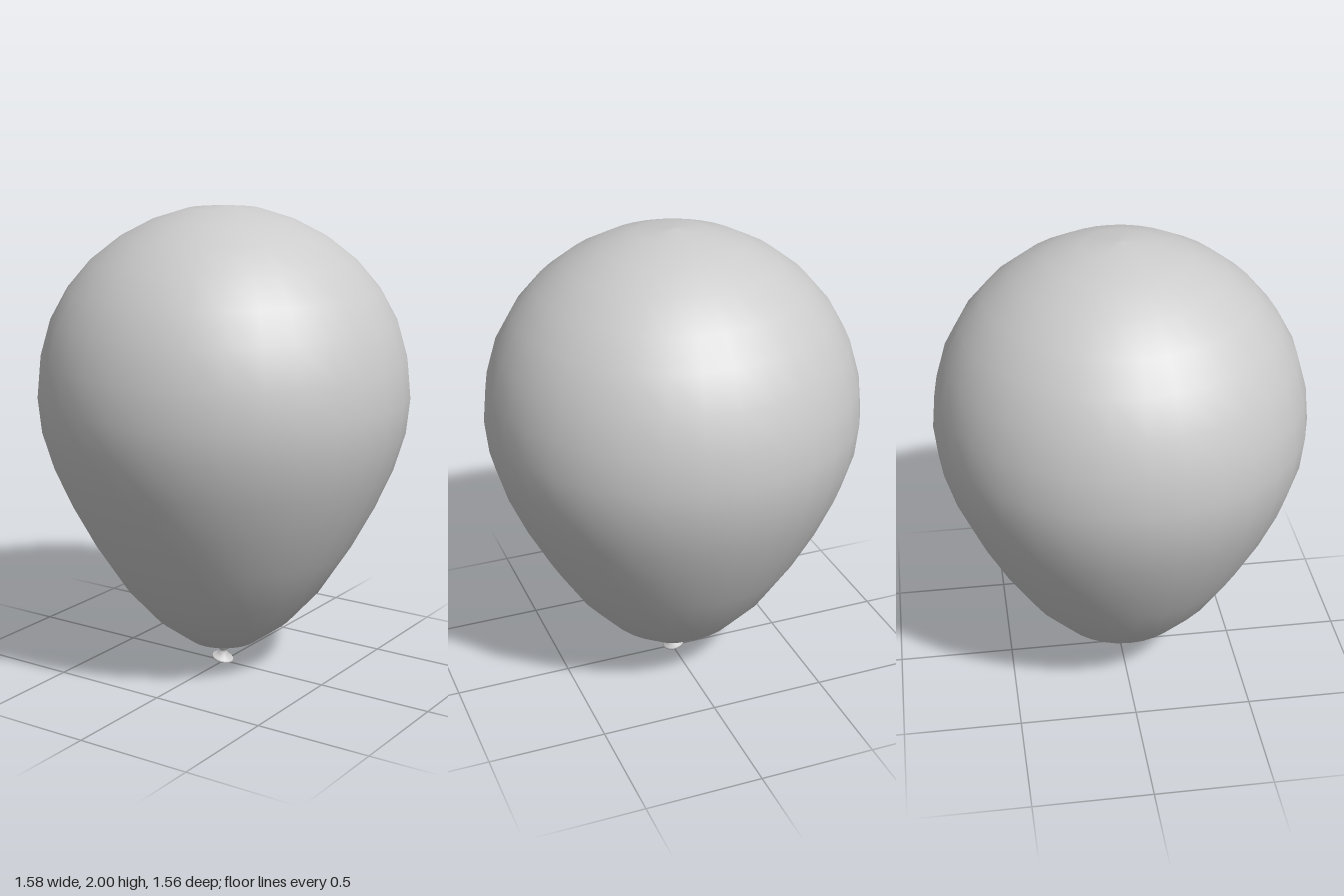
import * as THREE from 'three';

// Smooth surface of revolution from [radius, height] pairs, bottom to top
function lathe(name, profile, segments, material) {
  const points = profile.map(([r, y]) => new THREE.Vector2(r, y));
  const mesh = new THREE.Mesh(new THREE.LatheGeometry(points, segments), material);
  mesh.name = name;
  return mesh;
}

export function createModel() {
  const group = new THREE.Group();
  group.name = 'balloon';
  const rubber = new THREE.MeshStandardMaterial({ color: 0xcccccc });
  const thinRubber = new THREE.MeshStandardMaterial({ color: 0xcccccc, side: THREE.DoubleSide });

  // Inflated body: a sphere drawn down towards the neck
  const body = lathe('body', [
    [0, 0.08], [0.15, 0.115], [0.297, 0.222], [0.435, 0.375], [0.555, 0.56],
    [0.652, 0.74], [0.727, 0.91], [0.775, 1.07], [0.79, 1.217], [0.775, 1.37],
    [0.73, 1.525], [0.655, 1.66], [0.557, 1.775], [0.435, 1.87], [0.3, 1.94],
    [0.153, 1.986], [0, 2],
  ], 32, rubber);
  body.scale.z = 0.988;
  group.add(body);

  // Tied knot: small collar under the body, narrow waist
  const knot = lathe('knot', [
    [0.02, 0.03], [0.015, 0.046], [0.015, 0.056], [0.024, 0.062],
    [0.026, 0.069], [0.023, 0.076], [0.014, 0.084],
  ], 16, thinRubber);
  group.add(knot);

  // Flared lip, hollow underneath and tilted sideways
  const lip = lathe('lip', [
    [0, 0.014], [0.02, 0.009], [0.04, -0.004], [0.047, -0.005], [0.049, 0],
    [0.046, 0.004], [0.034, 0.009], [0.022, 0.019], [0.015, 0.033],
  ], 16, thinRubber);
  lip.position.set(-0.005, 0.0175, 0);
  lip.rotation.z = -0.26;
  group.add(lip);

  return group;
}
